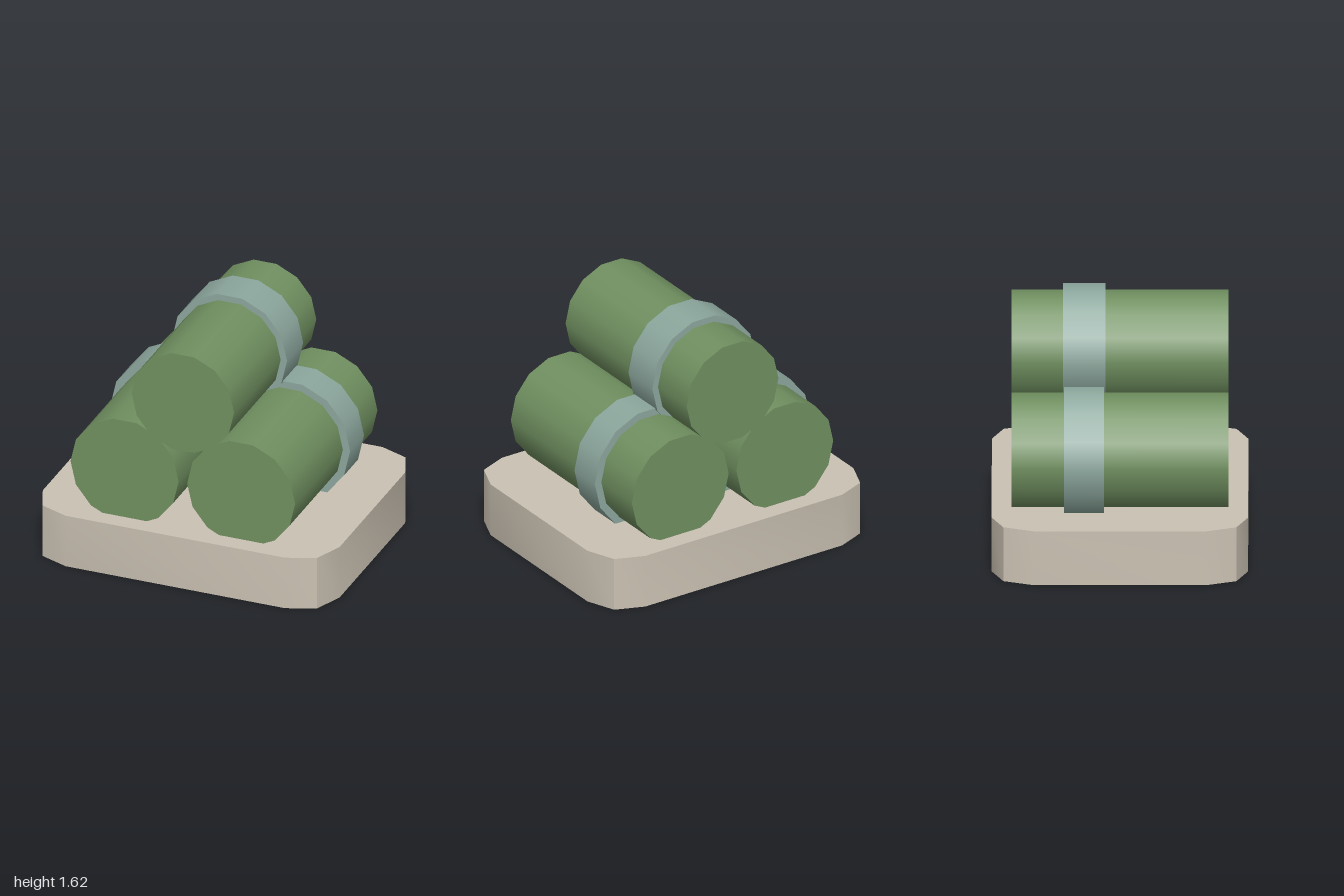
import * as THREE from 'three';
import { toCreasedNormals } from 'three/addons/utils/BufferGeometryUtils.js';

const SIDES = 14;

function material(name, color) {
  const m = new THREE.MeshStandardMaterial({ color });
  m.name = name;
  return m;
}

// Cylinder lying along z with corners at its left and right extremes
function lyingCylinder(name, mat, radius, x, y, zBack, zFront) {
  const geo = new THREE.CylinderGeometry(radius, radius, zFront - zBack, SIDES, 1, false, Math.PI / 2);
  geo.rotateX(Math.PI / 2);
  const mesh = new THREE.Mesh(geo, mat);
  mesh.position.set(x, y, (zBack + zFront) / 2);
  mesh.name = name;
  return mesh;
}

export function createModel() {
  const stone = material('warm stone', 0xcac1b2);
  const green = material('leaf green', 0x709060);
  const teal = material('pale teal', 0x8ca79d);

  const model = new THREE.Group();
  model.name = 'stackedRolls';

  // Base slab with two-step chamfered corners
  const corner = [[1, 0.54], [0.925, 0.727], [0.74, 0.8]];
  const mirrored = [...corner].reverse();
  const outline = [
    ...corner,
    ...mirrored.map(([x, z]) => [-x, z]),
    ...corner.map(([x, z]) => [-x, -z]),
    ...mirrored.map(([x, z]) => [x, -z]),
  ].map(([x, z]) => new THREE.Vector2(x, z));
  const slab = new THREE.ExtrudeGeometry(new THREE.Shape(outline), { depth: 0.356, bevelEnabled: false });
  slab.rotateX(-Math.PI / 2);
  const base = new THREE.Mesh(toCreasedNormals(slab, 0.6), stone);
  base.name = 'base';
  model.add(base);

  // Three stacked rolls, each with a band around it
  const rolls = [
    { name: 'leftRoll', x: 0.393, y: 0.678, r: 0.364, bandR: 0.413, band: [-0.336, -0.108] },
    { name: 'rightRoll', x: -0.393, y: 0.678, r: 0.364, bandR: 0.415, band: [-0.348, -0.1] },
    { name: 'topRoll', x: 0, y: 1.238, r: 0.345, bandR: 0.388, band: [-0.356, -0.09] },
  ];
  for (const { name, x, y, r, bandR, band } of rolls) {
    const roll = new THREE.Group();
    roll.name = name;
    roll.add(lyingCylinder(name + 'Body', green, r, x, y, -0.676, 0.676));
    roll.add(lyingCylinder(name + 'Band', teal, bandR, x, y, band[0], band[1]));
    model.add(roll);
  }
  return model;
}
